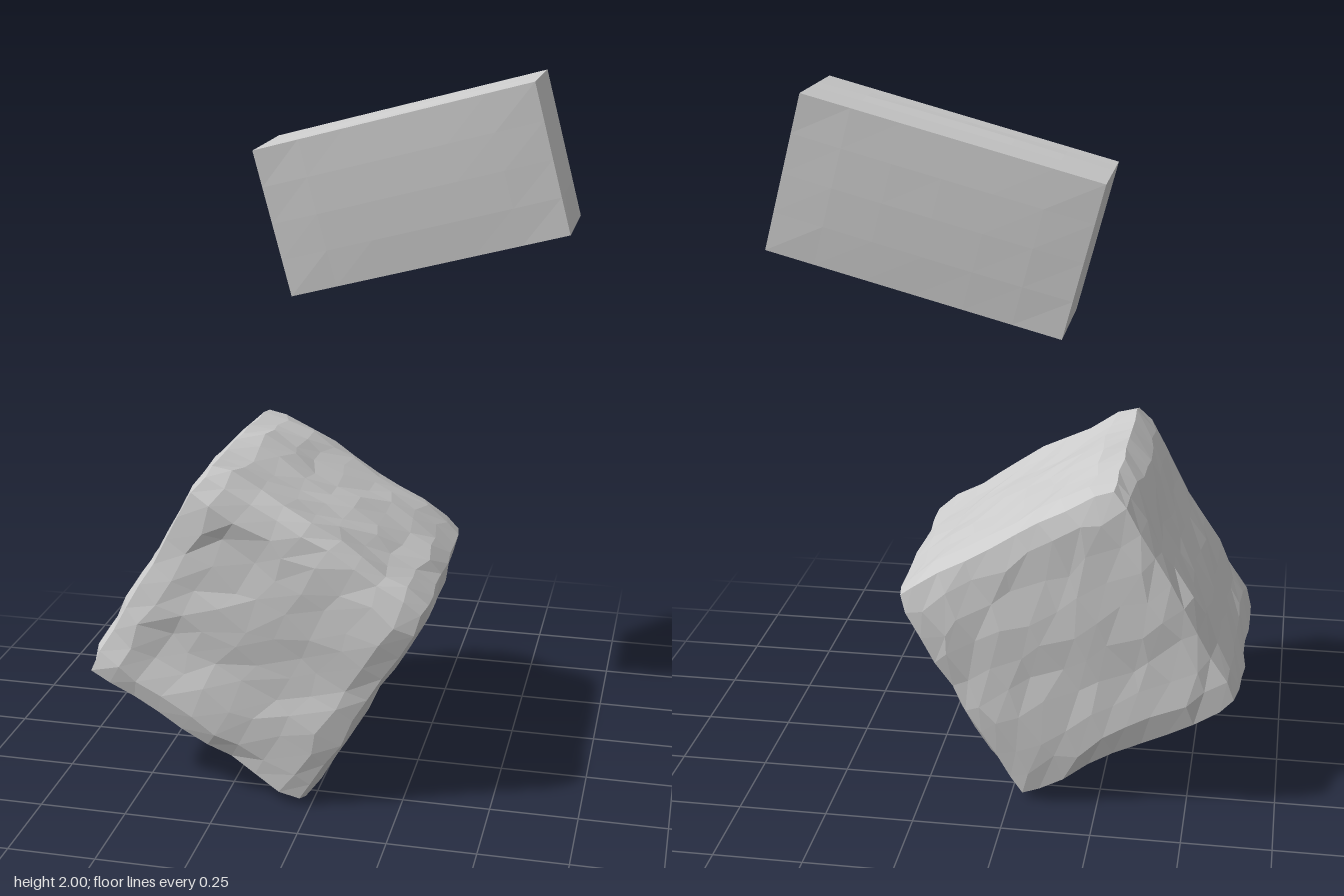
import * as THREE from 'three';
import { mergeVertices } from 'three/addons/utils/BufferGeometryUtils.js';

const material = new THREE.MeshStandardMaterial({ color: 0xcccccc, flatShading: true });

// Moves every shared vertex of a subdivided box by a rule, then facets it
function shapedBox(size, segments, rule) {
  let geo = new THREE.BoxGeometry(...size, ...segments);
  geo.deleteAttribute('uv');
  geo.deleteAttribute('normal');
  geo = mergeVertices(geo, 1e-4);
  const pos = geo.attributes.position;
  const p = new THREE.Vector3();
  for (let i = 0; i < pos.count; i++) {
    p.fromBufferAttribute(pos, i);
    rule(p);
    pos.setXYZ(i, p.x, p.y, p.z);
  }
  geo = geo.toNonIndexed();
  geo.computeVertexNormals();
  return geo;
}

function seededRandom(seed) {
  return () => {
    seed = (seed * 16807) % 2147483647;
    return seed / 2147483647;
  };
}

// Rough block: worn edges and a hammered, uneven surface
function roughBlock() {
  const half = 0.37, r = 0.06;
  const random = seededRandom(4127);
  const jitter = (a) => (random() - 0.5) * a;
  const inner = new THREE.Vector3();
  const normal = new THREE.Vector3();
  const limit = half - r;
  const geo = shapedBox([2 * half, 2 * half, 2 * half], [9, 9, 9], (p) => {
    inner.copy(p).clampScalar(-limit, limit);
    normal.copy(p).sub(inner).normalize();
    const wave = 0.004 * (Math.sin(17 * p.x + 5 * p.z) + Math.sin(19 * p.y - 7 * p.x) + Math.sin(15 * p.z + 6 * p.y));
    const lift = r + wave + jitter(0.01);
    p.copy(inner).addScaledVector(normal, lift);
    // slide along the surface for irregular facets
    const slide = new THREE.Vector3(jitter(0.035), jitter(0.035), jitter(0.035));
    slide.addScaledVector(normal, -slide.dot(normal));
    const onEdge = Math.max(Math.abs(normal.x), Math.abs(normal.y), Math.abs(normal.z)) < 0.9;
    p.addScaledVector(slide, onEdge ? 0.25 : 1);
  });
  const mesh = new THREE.Mesh(geo, material);
  mesh.name = 'roughBlock';
  mesh.position.set(-0.16, 0.49, 0);
  mesh.rotation.z = -Math.PI / 6;
  return mesh;
}

// Smooth slab: crisp edges, slightly swollen sides and a low ridge along the top
function smoothSlab() {
  const [w, h, d] = [0.81, 0.425, 0.3];
  const geo = shapedBox([w, h, d], [6, 4, 5], (p) => {
    const u = p.x / (w / 2), v = p.y / (h / 2), t = p.z / (d / 2);
    if (Math.abs(t) > 0.99) p.z += Math.sign(t) * 0.008 * (1 - u * u * u * u) * (1 - v * v);
    if (v > 0.99 && Math.abs(t - 0.2) < 0.1) p.y += 0.006 * (1 - u * u);
    if (Math.abs(u) > 0.99) p.x += Math.sign(u) * 0.004 * (1 - v * v) * (1 - t * t);
  });
  const mesh = new THREE.Mesh(geo, material);
  mesh.name = 'smoothSlab';
  mesh.position.set(0.19, 1.69, -0.218);
  mesh.rotation.z = THREE.MathUtils.degToRad(15);
  return mesh;
}

export function createModel() {
  const model = new THREE.Group();
  model.name = 'blockAndSlab';
  model.add(roughBlock(), smoothSlab());
  return model;
}
